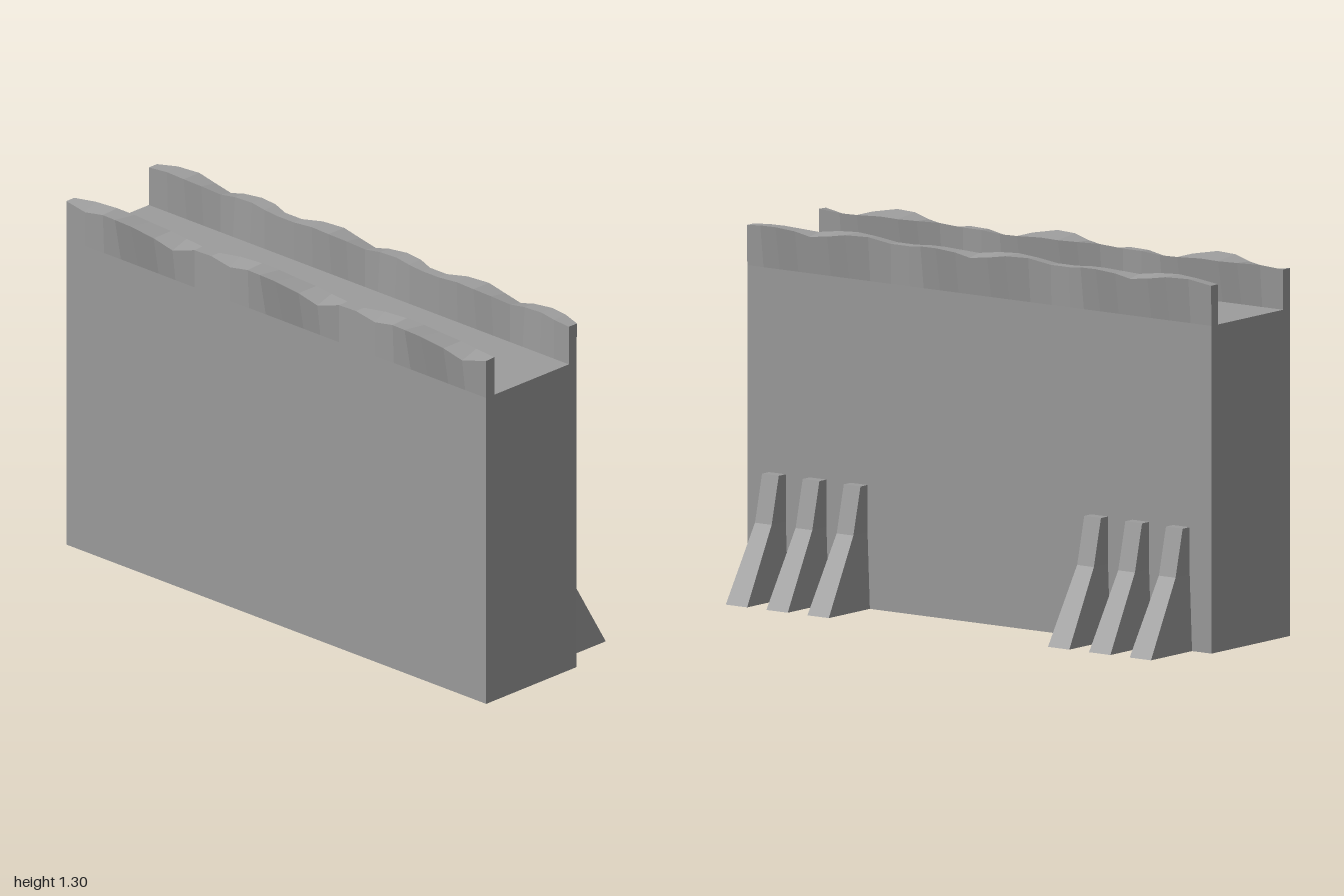
import * as THREE from 'three';

const material = new THREE.MeshStandardMaterial({ color: 0x9c9c9c });

// Skin a row of four-cornered rings (counter-clockwise about the row direction) and cap both ends.
// Every quad gets a single normal, so slightly twisted panels still read as one flat band.
function loft(rings) {
  const pos = [], normals = [];
  const quad = (...corners) => {
    const [a, b, c, d] = corners.map((p) => new THREE.Vector3(...p));
    const normal = c.clone().sub(a).cross(d.clone().sub(b)).normalize();
    for (const p of [a, b, c, a, c, d]) {
      pos.push(...p);
      normals.push(...normal);
    }
  };
  for (let i = 0; i < rings.length - 1; i++) {
    const a = rings[i], b = rings[i + 1];
    for (let j = 0; j < 4; j++) {
      const k = (j + 1) % 4;
      quad(a[j], a[k], b[k], b[j]);
    }
  }
  quad(...[...rings[0]].reverse());
  quad(...rings[rings.length - 1]);
  const geometry = new THREE.BufferGeometry();
  geometry.setAttribute('position', new THREE.Float32BufferAttribute(pos, 3));
  geometry.setAttribute('normal', new THREE.Float32BufferAttribute(normals, 3));
  return geometry;
}

const BASE_Y = 1.14;
const PERIOD = 0.69;

// Worn top edge, one repeat: [offset along x, front z, back z, front y, back y]
const frontWave = [
  [0, 0.32, 0.28, 1.28, 1.28],
  [0.09, 0.32, 0.267, 1.265, 1.288],
  [0.18, 0.326, 0.255, 1.283, 1.287],
  [0.26, 0.35, 0.253, 1.296, 1.285],
  [0.34, 0.357, 0.26, 1.298, 1.285],
  [0.44, 0.345, 0.258, 1.28, 1.28],
  [0.52, 0.335, 0.265, 1.255, 1.277],
  [0.61, 0.32, 0.28, 1.278, 1.28],
];
const backWave = [
  [0, -0.088, -0.128, 1.28, 1.28],
  [0.09, -0.084, -0.138, 1.29, 1.295],
  [0.18, -0.073, -0.15, 1.294, 1.294],
  [0.26, -0.077, -0.147, 1.29, 1.28],
  [0.34, -0.088, -0.14, 1.28, 1.27],
  [0.4, -0.098, -0.145, 1.285, 1.283],
  [0.48, -0.098, -0.15, 1.288, 1.29],
  [0.55, -0.088, -0.144, 1.285, 1.288],
  [0.61, -0.088, -0.128, 1.28, 1.28],
];

// Parapet: straight foot, wavy top, the wave repeated three times
function parapet(wave, footFront, footBack) {
  const rings = [];
  for (let n = 0; n < 3; n++) {
    for (const [u, zf, zb, yf, yb] of wave) {
      const x = n === 2 && u === 0.61 ? 1 : -1 + n * PERIOD + u;
      rings.push([[x, yf, zf], [x, BASE_Y, footFront], [x, BASE_Y, footBack], [x, yb, zb]]);
    }
  }
  return loft(rings);
}

// Buttress levels from the ground up: [y, half width, outer z]
function buttress() {
  const levels = [[0, 0.046, -0.357], [0.265, 0.036, -0.205], [0.43, 0.036, -0.165]];
  const inner = -0.12;
  return loft(levels.map(([y, w, z]) => [[w, y, inner], [w, y, z], [-w, y, z], [-w, y, inner]]));
}

export function createModel() {
  const model = new THREE.Group();
  model.name = 'wallSegment';
  const add = (name, geometry) => {
    const mesh = new THREE.Mesh(geometry, material);
    mesh.name = name;
    model.add(mesh);
    return mesh;
  };

  // Solid wall with the walkway as its top
  add('wallBody', new THREE.BoxGeometry(2, BASE_Y, 0.445)).position.set(0, BASE_Y / 2, 0.0975);

  add('frontParapet', parapet(frontWave, 0.32, 0.28));
  add('backParapet', parapet(backWave, -0.088, -0.125));

  // Two groups of three buttresses on the back
  const shape = buttress();
  for (const side of [-1, 1]) {
    [0.518, 0.695, 0.87].forEach((x, i) => {
      add(`${side > 0 ? 'left' : 'right'}Buttress${i + 1}`, shape).position.x = side * x;
    });
  }
  return model;
}
